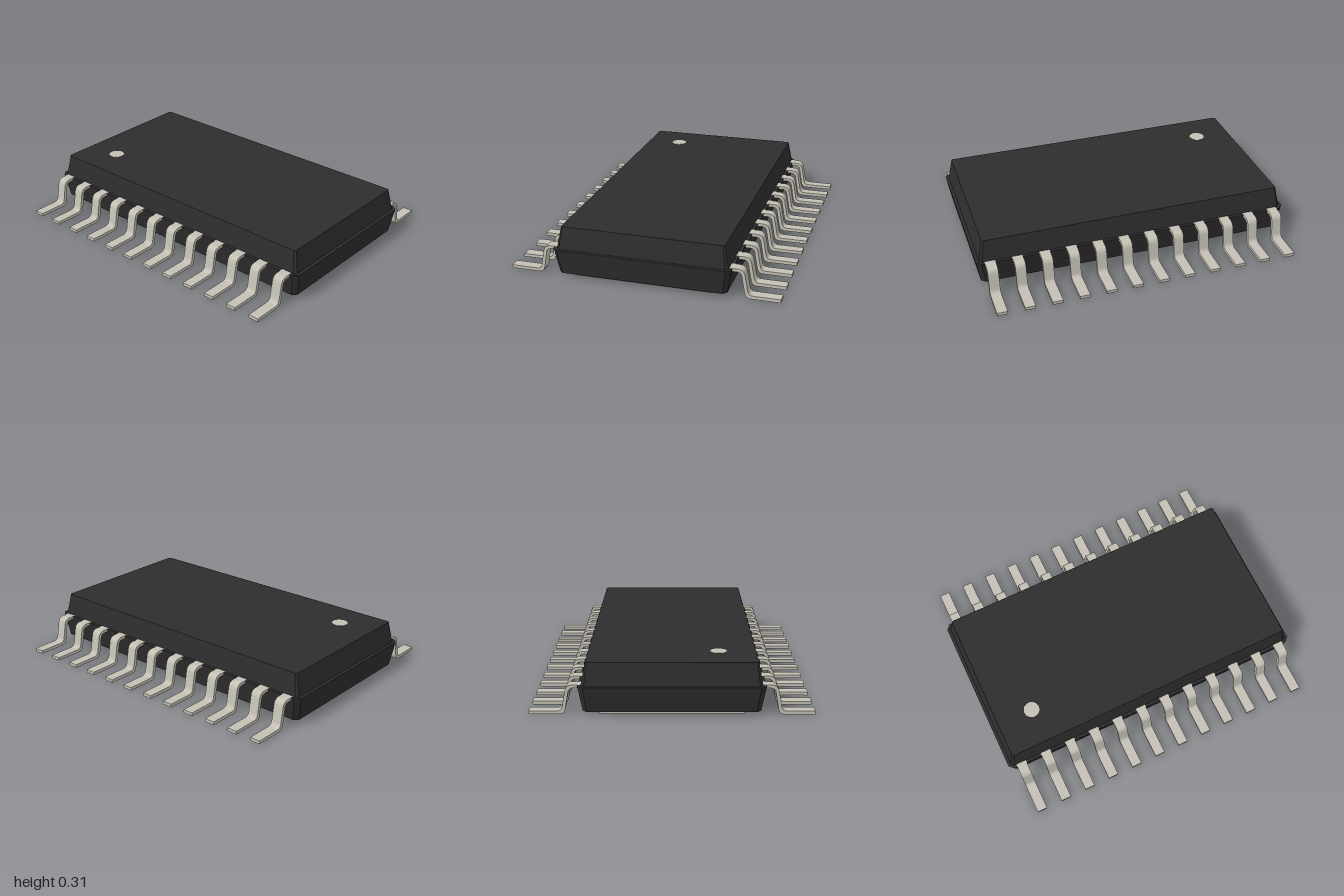
import * as THREE from 'three';

// Eight-cornered ring: a rectangle with chamfered corners at height y
function ring(y, hx, hz, c) {
  return [
    [hx, hz - c], [hx, -hz + c], [hx - c, -hz], [-hx + c, -hz],
    [-hx, -hz + c], [-hx, hz - c], [-hx + c, hz], [hx - c, hz],
  ].map(([x, z]) => new THREE.Vector3(x, y, z));
}

// Closed, flat-faced loft through rings listed from bottom to top
function loft(rings) {
  const pts = [];
  const tri = (a, b, c) => pts.push(a, b, c);
  for (let r = 0; r < rings.length - 1; r++) {
    const lo = rings[r], hi = rings[r + 1];
    for (let i = 0; i < 8; i++) {
      const j = (i + 1) % 8;
      tri(lo[i], lo[j], hi[j]);
      tri(lo[i], hi[j], hi[i]);
    }
  }
  const bottom = rings[0], top = rings[rings.length - 1];
  for (let i = 1; i < 7; i++) {
    tri(bottom[0], bottom[i + 1], bottom[i]);
    tri(top[0], top[i], top[i + 1]);
  }
  const geometry = new THREE.BufferGeometry().setFromPoints(pts);
  geometry.computeVertexNormals();
  return geometry;
}

// Gull-wing lead: bent strip profile in x/y, extruded along z
function leadGeometry(width) {
  const s = new THREE.Shape();
  s.moveTo(0.5, 0.177);
  s.lineTo(0.565, 0.177);
  s.quadraticCurveTo(0.605, 0.177, 0.611, 0.138);
  s.lineTo(0.627, 0.05);
  s.quadraticCurveTo(0.632, 0.02, 0.657, 0.02);
  s.lineTo(0.82, 0.02);
  s.lineTo(0.82, 0);
  s.lineTo(0.645, 0);
  s.quadraticCurveTo(0.613, 0, 0.608, 0.04);
  s.lineTo(0.592, 0.132);
  s.quadraticCurveTo(0.588, 0.158, 0.562, 0.158);
  s.lineTo(0.5, 0.158);
  s.closePath();
  const geometry = new THREE.ExtrudeGeometry(s, { depth: width, bevelEnabled: false, curveSegments: 6 });
  geometry.translate(0, 0, -width / 2);
  return geometry;
}

export function createModel() {
  const model = new THREE.Group();
  model.name = 'integratedCircuit';

  const black = new THREE.MeshStandardMaterial({ color: 0x2d2d2d });
  black.name = 'black plastic';
  const metal = new THREE.MeshStandardMaterial({ color: 0xc4c0b4 });
  metal.name = 'tinned metal';

  const add = (name, geometry, material, parent = model) => {
    const mesh = new THREE.Mesh(geometry, material);
    mesh.name = name;
    parent.add(mesh);
    return mesh;
  };

  // Moulded body: wider lower half, a narrow ledge, then the upper half
  add('body', loft([
    ring(0.022, 0.51, 0.975, 0.025),
    ring(0.175, 0.537, 1.0, 0.03),
    ring(0.175, 0.518, 0.98, 0.018),
    ring(0.31, 0.493, 0.953, 0.01),
  ]), black);

  // Thermal pad under the body
  const pad = add('thermalPad', new THREE.BoxGeometry(0.83, 0.026, 1.89), metal);
  pad.position.y = 0.016;

  // Pin one marker on the top face
  const marker = add('pinOneMarker', new THREE.CylinderGeometry(0.049, 0.049, 0.004, 32), metal);
  marker.position.set(-0.273, 0.31, -0.725);

  // Twelve leads on each side
  const lead = leadGeometry(0.065);
  const count = 12, pitch = 0.167;
  for (const side of ['left', 'right']) {
    const row = new THREE.Group();
    row.name = side + 'Leads';
    if (side === 'right') row.rotation.y = Math.PI;
    for (let i = 0; i < count; i++) {
      add('lead', lead, metal, row).position.z = (i - (count - 1) / 2) * pitch;
    }
    model.add(row);
  }

  return model;
}
